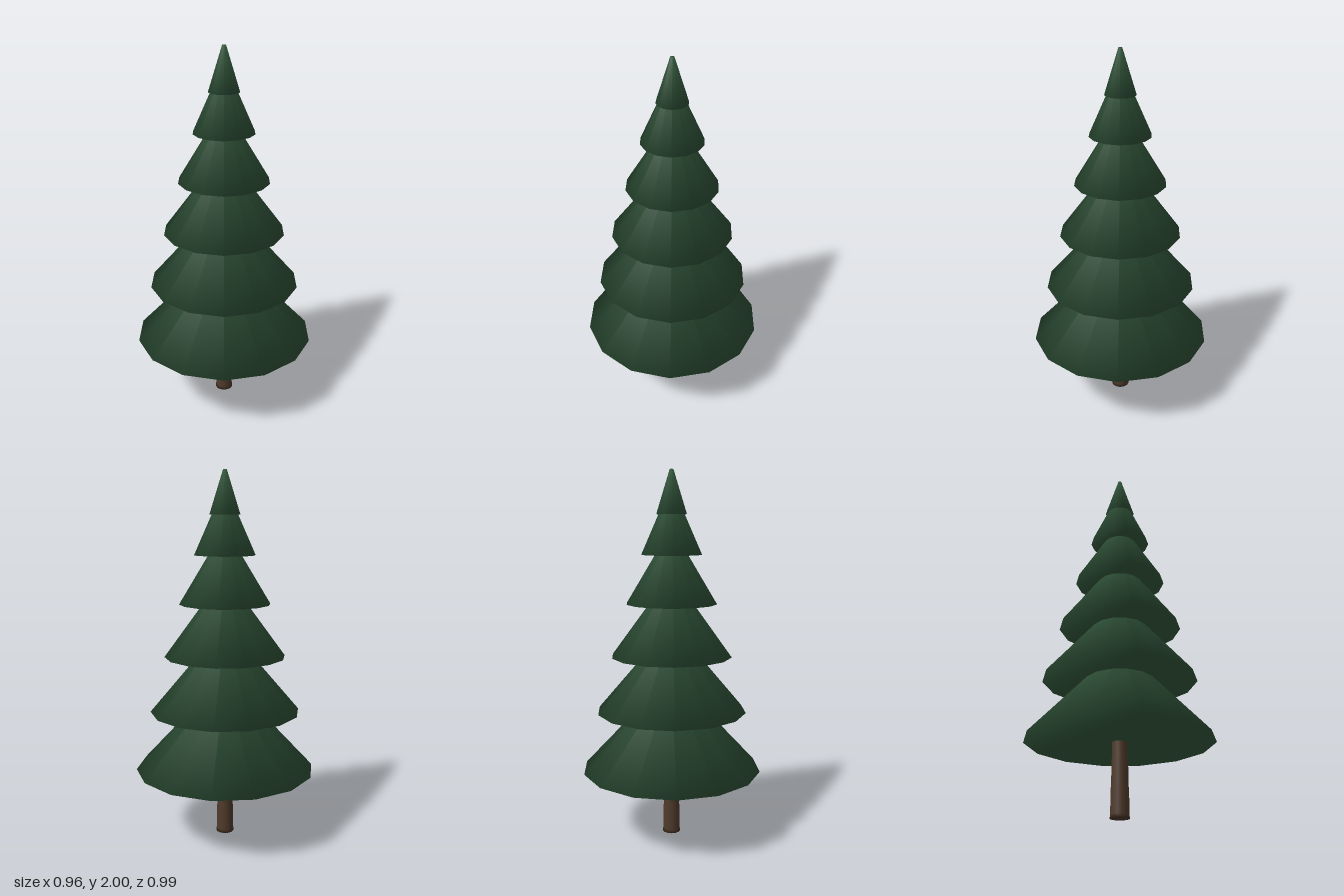
import * as THREE from 'three';

const SIDES = 14;

// Softly shaded truncated cone whose normals blend across the rim into the caps
function tierGeometry(radius, y0, y1, tip = 0.01) {
  const pos = [], nor = [], idx = [];
  const rings = [[radius, y0, -0.45], [tip, y1, 1.2]];
  for (const [r, y, tilt] of rings) {
    for (let i = 0; i < SIDES; i++) {
      const a = (i / SIDES) * Math.PI * 2;
      const n = new THREE.Vector3(Math.sin(a), tilt, Math.cos(a)).normalize();
      pos.push(Math.sin(a) * r, y, Math.cos(a) * r);
      nor.push(n.x, n.y, n.z);
    }
  }
  const at = (i) => (i + SIDES) % SIDES;
  // Sloping sides
  for (let i = 0; i < SIDES; i++) {
    const a = i, b = at(i + 1);
    idx.push(a, b, b + SIDES, a, b + SIDES, a + SIDES);
  }
  // Caps filled with strips between mirrored rim corners
  for (let j = 0; j < SIDES / 2; j++) {
    const a = at(2 + j), b = at(2 - j), c = at(1 - j), d = at(3 + j);
    if (a !== b) {
      idx.push(a, b, c);
      idx.push(a + SIDES, c + SIDES, b + SIDES);
    }
    if (c !== d) {
      idx.push(a, c, d);
      idx.push(a + SIDES, d + SIDES, c + SIDES);
    }
  }
  const g = new THREE.BufferGeometry();
  g.setAttribute('position', new THREE.Float32BufferAttribute(pos, 3));
  g.setAttribute('normal', new THREE.Float32BufferAttribute(nor, 3));
  g.setIndex(idx);
  return g;
}

export function createModel() {
  const tree = new THREE.Group();
  tree.name = 'pineTree';

  const needles = new THREE.MeshStandardMaterial({ color: 0x2f5238 });
  needles.name = 'needleGreen';
  const bark = new THREE.MeshStandardMaterial({ color: 0x4f3a2b });
  bark.name = 'barkBrown';

  // Trunk, stepping in slightly towards the top
  const profile = [
    [0, 0], [0.05, 0], [0.047, 0.02], [0.046, 0.15],
    [0.043, 0.155], [0.042, 0.29], [0.04, 0.3], [0.04, 0.4],
  ].map(([r, y]) => new THREE.Vector2(r, y));
  const trunk = new THREE.Mesh(new THREE.LatheGeometry(profile, 14), bark);
  trunk.name = 'trunk';
  tree.add(trunk);

  // Branch tiers from bottom to top: rim radius, rim height, tip height
  const tiers = [
    [0.493, 0.38, 0.9],
    [0.41, 0.71, 1.18],
    [0.329, 1.015, 1.45],
    [0.246, 1.3, 1.69],
    [0.164, 1.56, 1.905],
    [0.082, 1.77, 2.0],
  ];
  tiers.forEach(([r, y0, y1], i) => {
    const tier = new THREE.Mesh(tierGeometry(r, y0, y1), needles);
    tier.name = `branchTier${i + 1}`;
    tree.add(tier);
  });

  return tree;
}
